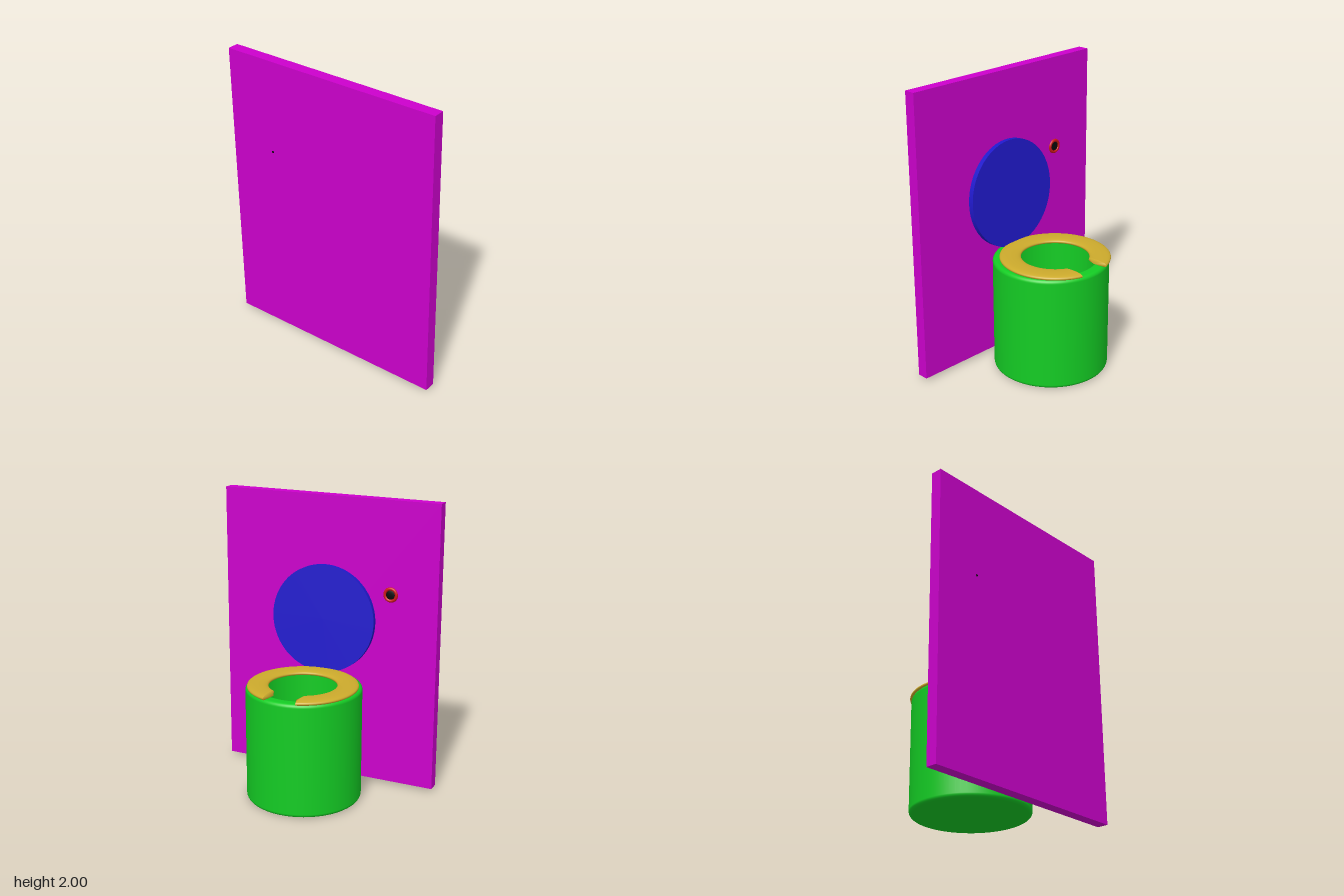
import * as THREE from 'three';

const mat = (color, side = THREE.FrontSide) => new THREE.MeshStandardMaterial({ color, side });

function add(parent, name, geometry, material, x = 0, y = 0, z = 0) {
  const mesh = new THREE.Mesh(geometry, material);
  mesh.name = name;
  mesh.position.set(x, y, z);
  parent.add(mesh);
  return mesh;
}

// Hollow drum with rounded rim and base, revolved from a profile
function bowlGeometry() {
  const R = 0.39, r = 0.3, H = 0.79, floor = 0.09, e = 0.025;
  const pts = [new THREE.Vector2(0, 0)];
  const corner = (cx, cy, from, rad) => {
    for (let i = 0; i <= 6; i++) {
      const a = from + (i / 6) * Math.PI / 2;
      pts.push(new THREE.Vector2(cx + rad * Math.cos(a), cy + rad * Math.sin(a)));
    }
  };
  corner(R - e, e, -Math.PI / 2, e);
  corner(R - e, H - e, 0, e);
  corner(r + e, H - e, Math.PI / 2, e);
  pts.push(new THREE.Vector2(r, floor), new THREE.Vector2(r, floor), new THREE.Vector2(0, floor));
  return new THREE.LatheGeometry(pts, 72);
}

// Flattened ring with a parallel-sided gap towards +x and pointed end caps
function seatGeometry() {
  const mid = 0.3, halfW = 0.072, halfH = 0.018, cut = 0.115, tip = 0.083;
  const arcs = 80, sides = 24;
  const pos = [], idx = [];
  const section = j => {
    const a = (j / sides) * Math.PI * 2, c = Math.cos(a), s = Math.sin(a);
    return [mid + halfW * Math.sign(c) * Math.abs(c) ** 0.8, halfH * Math.sign(s) * Math.abs(s) ** 0.8];
  };
  for (let i = 0; i <= arcs; i++) {
    for (let j = 0; j < sides; j++) {
      const [r, y] = section(j);
      const start = Math.asin(cut / r);
      const a = start + (i / arcs) * (Math.PI * 2 - 2 * start);
      pos.push(r * Math.cos(a), y, r * Math.sin(a));
    }
  }
  for (let i = 0; i < arcs; i++) {
    for (let j = 0; j < sides; j++) {
      const k = (j + 1) % sides;
      const a = i * sides + j, b = i * sides + k, c = a + sides, d = b + sides;
      idx.push(a, b, c, b, d, c);
    }
  }
  // End caps use their own vertices so their edges stay sharp
  for (const end of [0, 1]) {
    const base = pos.length / 3, ring = end * arcs * sides * 3;
    for (let n = 0; n < sides * 3; n++) pos.push(pos[ring + n]);
    pos.push(0.27, 0, end ? -tip : tip);
    for (let j = 0; j < sides; j++) {
      const a = base + j, b = base + (j + 1) % sides;
      idx.push(...(end ? [a, b, base + sides] : [b, a, base + sides]));
    }
  }
  const g = new THREE.BufferGeometry();
  g.setAttribute('position', new THREE.Float32BufferAttribute(pos, 3));
  g.setIndex(idx);
  g.computeVertexNormals();
  return g;
}

export function createModel() {
  const group = new THREE.Group();
  group.name = 'toilet';

  add(group, 'wall', new THREE.BoxGeometry(0.077, 1.98, 1.57), mat(0xcc00cc), -0.396, 1.01, 0);
  add(group, 'bowl', bowlGeometry(), mat(0x14cc24, THREE.DoubleSide), 0.042, 0, -0.004);
  add(group, 'seat', seatGeometry(), mat(0xccaa2c, THREE.DoubleSide), 0.073, 0.8, -0.012);

  // Raised lid leaning back against the wall
  const lid = new THREE.Group();
  lid.name = 'lid';
  lid.position.set(-0.313, 1.157, 0.018);
  lid.rotation.set(0, 0.025, 0.066);
  group.add(lid);
  add(lid, 'lidDisc', new THREE.CylinderGeometry(0.372, 0.372, 0.035, 72), mat(0x2019cc)).rotation.z = Math.PI / 2;

  // Flush button: ring around a dark domed centre, with its pin showing behind
  const button = new THREE.Group();
  button.name = 'flushButton';
  button.position.set(-0.358, 1.365, -0.452);
  group.add(button);
  const black = mat(0x080808);
  add(button, 'buttonRing', new THREE.TorusGeometry(0.041, 0.011, 16, 40), mat(0xcc1818)).rotation.y = Math.PI / 2;
  add(button, 'buttonCentre', new THREE.SphereGeometry(0.038, 32, 16), black).scale.x = 0.2;
  add(button, 'buttonPin', new THREE.CylinderGeometry(0.007, 0.007, 0.078, 16), black, -0.0395).rotation.z = Math.PI / 2;

  return group;
}
